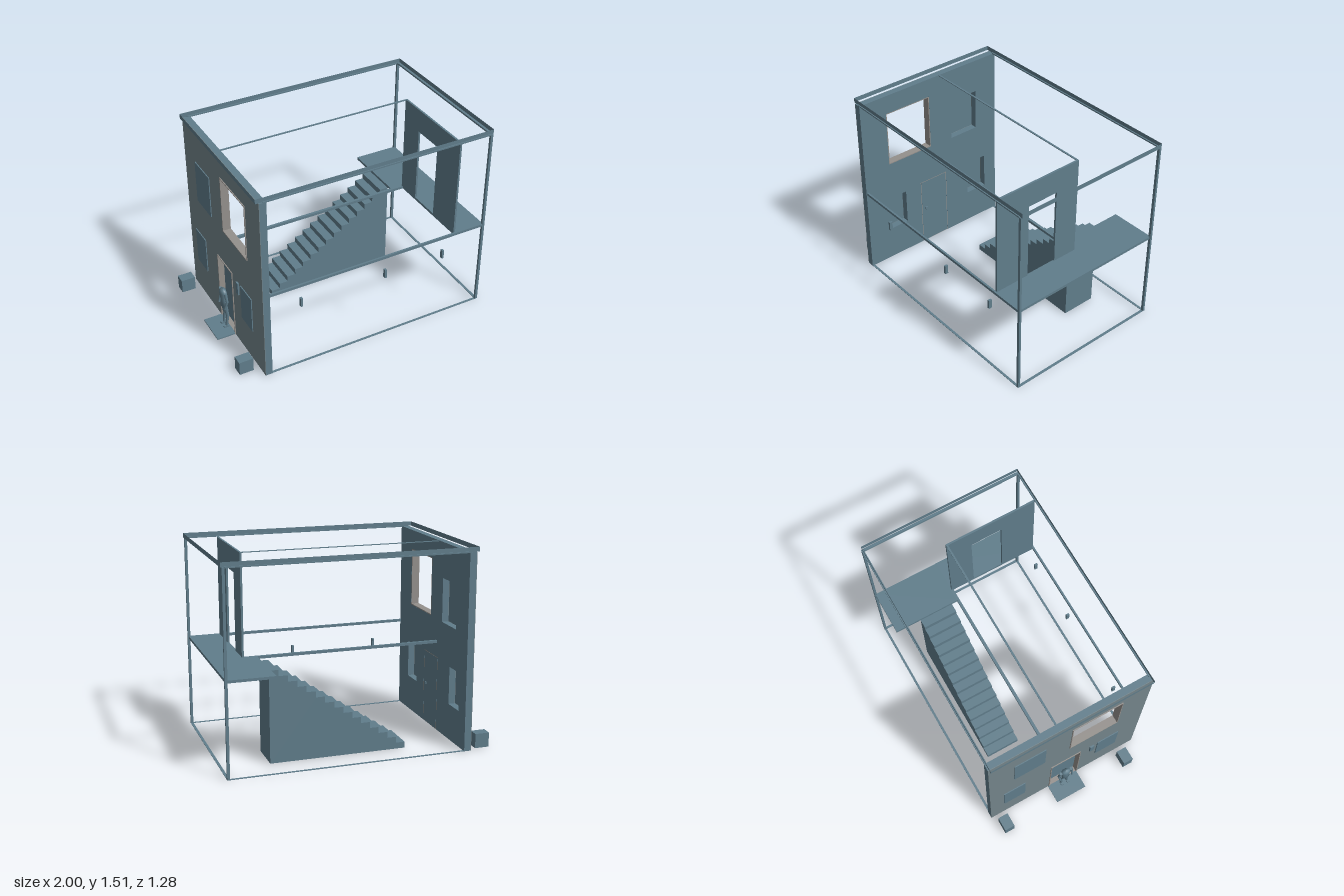
import * as THREE from 'three';

const paint = (name, color) => {
  const m = new THREE.MeshStandardMaterial({ color, side: THREE.DoubleSide });
  m.name = name;
  return m;
};

export function createModel() {
  const model = new THREE.Group();
  model.name = 'house';
  const slate = paint('slate', 0x607d8b);
  const outer = paint('outerWallGrey', 0x74858b);
  const warm = paint('warmTrim', 0x94908c);

  const add = (name, geo, mat = slate, parent = model) => {
    const mesh = new THREE.Mesh(geo, mat);
    mesh.name = name;
    parent.add(mesh);
    return mesh;
  };
  // Box given by its limits on each axis
  const box = (name, x0, x1, y0, y1, z0, z1, mat, parent) => {
    const g = new THREE.BoxGeometry(x1 - x0, y1 - y0, z1 - z0);
    g.translate((x0 + x1) / 2, (y0 + y1) / 2, (z0 + z1) / 2);
    return add(name, g, mat, parent);
  };
  const trace = (target, z0, z1, y0, y1) =>
    target.moveTo(z0, y0).lineTo(z1, y0).lineTo(z1, y1).lineTo(z0, y1).closePath();
  // Upright panel across x with rectangular openings [z0, z1, y0, y1]
  const panel = (name, x0, x1, rect, openings, mat) => {
    const shape = trace(new THREE.Shape(), ...rect);
    openings.forEach(o => shape.holes.push(trace(new THREE.Path(), ...o)));
    const g = new THREE.ExtrudeGeometry(shape, { depth: x1 - x0, bevelEnabled: false });
    g.rotateY(-Math.PI / 2).translate(x1, 0, 0);
    return add(name, g, mat);
  };

  // Entrance wall with door, open window and three closed windows
  const door = [-0.125, 0.13, 0.001, 0.58];
  const bigWindow = [0.015, 0.415, 0.88, 1.33];
  const closed = [[-0.44, -0.19, 0.875, 1.21], [-0.525, -0.345, 0.275, 0.565], [0.275, 0.455, 0.275, 0.565]];
  const openings = [door, bigWindow, ...closed];
  const wallRect = [-0.64, 0.64, 0, 1.48];
  panel('entranceWall', -0.836, -0.785, wallRect, openings, slate);
  panel('outerWallFace', -0.84, -0.836, wallRect, openings, outer);
  closed.forEach(([z0, z1, y0, y1]) => box('windowPane', -0.847, -0.839, y0, y1, z0, z1));
  [['windowFrame', bigWindow], ['doorFrame', door]].forEach(([name, [z0, z1, y0, y1]]) => {
    const b = 0.007;
    panel(name, -0.847, -0.7855, [z0, z1, y0, y1], [[z0 + b, z1 - b, y0 + b, y1 - b]], warm);
  });
  box('door', -0.8, -0.785, 0.003, 0.575, -0.12, 0.125);
  box('doorKnob', -0.785, -0.775, 0.31, 0.33, 0.075, 0.095);
  box('doorbellPanel', -0.853, -0.84, 0.46, 0.56, 0.21, 0.245);

  // Roof trim: an upright band open above and below
  const trim = new THREE.Group();
  trim.name = 'roofTrim';
  model.add(trim);
  for (const z of [-0.63, 0.63]) {
    add('trimLong', new THREE.PlaneGeometry(1.861, 0.035).translate(0.0695, 1.4975, z), slate, trim);
  }
  for (const x of [-0.861, 1]) {
    add('trimShort', new THREE.PlaneGeometry(1.26, 0.035).rotateY(Math.PI / 2).translate(x, 1.4975, 0), slate, trim);
  }

  // Open frame of the front, back and right sides
  for (const s of [-1, 1]) {
    const a = Math.min(s * 0.62, s * 0.638), b = Math.max(s * 0.62, s * 0.638);
    box('cornerPost', 0.973, 0.993, 0, 1.48, a, b);
    box('groundRail', -0.807, 0.975, 0, 0.003, a, b);
    box('topRail', -0.807, 0.975, 1.475, 1.485, a, b);
  }
  box('rightGroundRail', 0.973, 0.993, 0, 0.003, -0.62, 0.62);
  box('rightTopRail', 0.973, 0.993, 1.475, 1.488, -0.62, 0.62);
  box('frontFloorRail', -0.785, 0.975, 0.69, 0.71, 0.62, 0.635);

  // Landing and inner partition
  box('landing', 0.73, 0.985, 0.69, 0.71, -0.1, 0.62);
  box('stairLanding', 0.63, 0.985, 0.69, 0.71, -0.63, -0.1);
  box('innerFloorBeam', -0.785, 0.73, 0.69, 0.71, -0.107, -0.086);
  box('partitionTopRail', -0.785, 0.73, 1.472, 1.477, -0.1, -0.086);
  const partition = new THREE.Shape();
  [[-0.1, 0.71], [0.095, 0.71], [0.095, 1.297], [0.345, 1.297], [0.345, 0.71], [0.62, 0.71],
    [0.62, 1.475], [-0.1, 1.475]].forEach(([z, y], i) => i ? partition.lineTo(z, y) : partition.moveTo(z, y));
  add('partition', new THREE.ExtrudeGeometry(partition, { depth: 0.015, bevelEnabled: false })
    .rotateY(-Math.PI / 2).translate(0.742, 0, 0));

  // Solid staircase
  const steps = 15, run = 1.03 / steps, rise = 0.69 / steps;
  const stair = new THREE.Shape();
  stair.moveTo(-0.4, 0);
  for (let i = 0; i < steps; i++) {
    stair.lineTo(-0.4 + i * run, (i + 1) * rise);
    stair.lineTo(-0.4 + (i + 1) * run, (i + 1) * rise);
  }
  stair.lineTo(0.63, 0);
  add('staircase', new THREE.ExtrudeGeometry(stair, { depth: 0.272, bevelEnabled: false }).translate(0, 0, -0.425));

  // Small wall fittings along the front
  for (const x of [-0.53, 0.155, 0.648]) box('wallFitting', x - 0.008, x + 0.008, 0.5, 0.57, 0.595, 0.62);

  // Doorstep and planters
  box('doorstep', -0.988, -0.84, 0, 0.01, -0.13, 0.125);
  for (const z of [-0.565, 0.505]) box('planter', -1, -0.89, 0, 0.11, z - 0.04, z + 0.04);

  // Standing figure on the doorstep
  const figure = new THREE.Group();
  figure.name = 'figure';
  model.add(figure);
  const limb = (name, a, b, r0, r1) => {
    const p = new THREE.Vector3(...a), q = new THREE.Vector3(...b), d = q.clone().sub(p);
    const m = add(name, new THREE.CylinderGeometry(r1, r0, d.length(), 8), slate, figure);
    m.position.copy(p).add(q).multiplyScalar(0.5);
    m.quaternion.setFromUnitVectors(new THREE.Vector3(0, 1, 0), d.normalize());
  };
  const torso = [[0.001, 0.19], [0.036, 0.2], [0.03, 0.25], [0.041, 0.32], [0.03, 0.35], [0.001, 0.355]];
  add('torso', new THREE.LatheGeometry(torso.map(p => new THREE.Vector2(...p)), 10)
    .scale(0.65, 1, 1), slate, figure).position.x = -0.87;
  for (const s of [-1, 1]) {
    limb('upperArm', [-0.87, 0.335, s * 0.045], [-0.865, 0.265, s * 0.058], 0.013, 0.01);
    limb('forearm', [-0.865, 0.265, s * 0.058], [-0.885, 0.2, s * 0.052], 0.01, 0.008);
    limb('thigh', [-0.868, 0.21, s * 0.02], [-0.855, 0.115, s * 0.024], 0.018, 0.013);
    limb('shin', [-0.855, 0.115, s * 0.024], [-0.868, 0.02, s * 0.026], 0.013, 0.009);
    box('foot', -0.892, -0.85, 0.01, 0.024, s * 0.026 - 0.01, s * 0.026 + 0.01, slate, figure);
  }
  return model;
}
